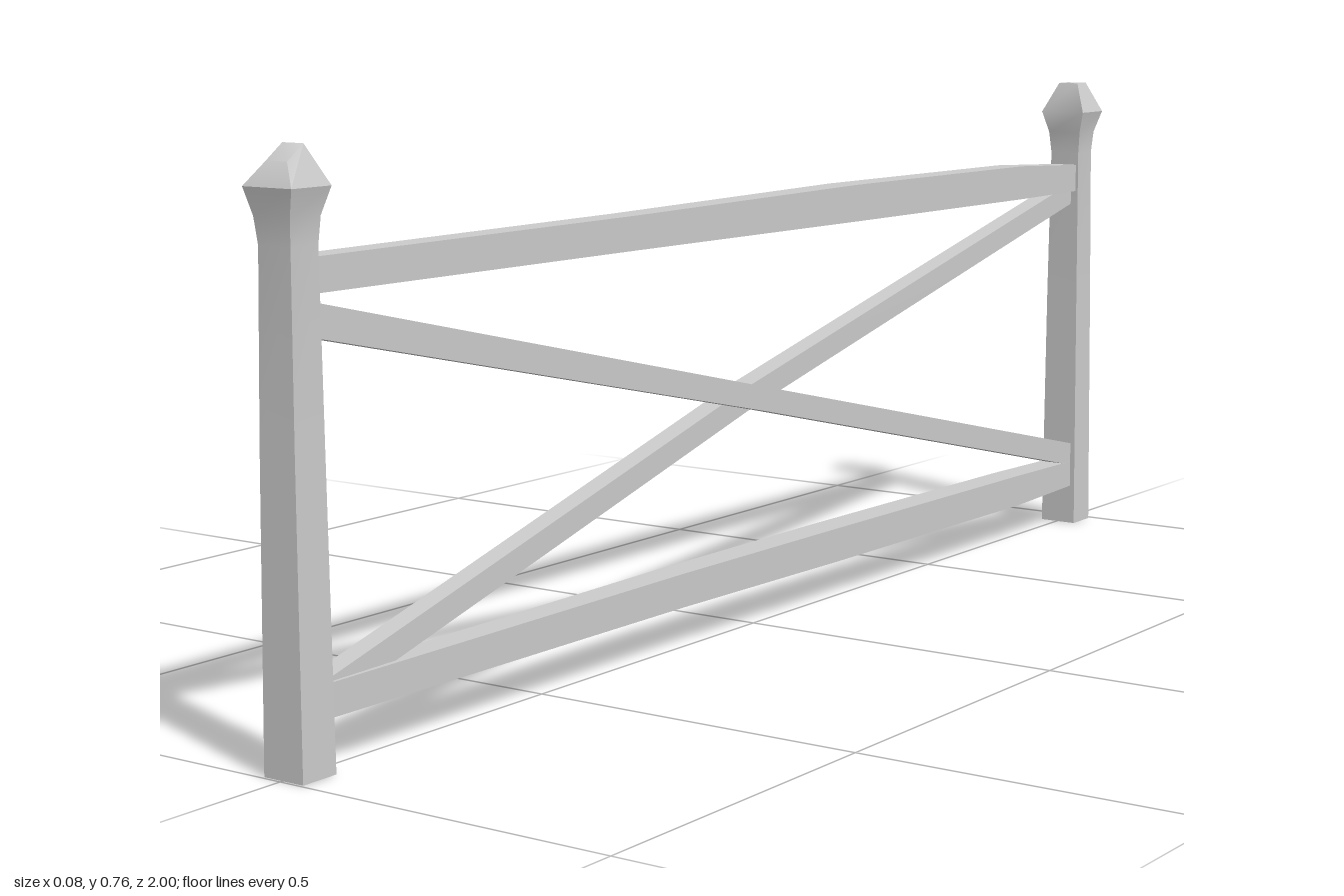
import * as THREE from 'three';
import { toCreasedNormals } from 'three/addons/utils/BufferGeometryUtils.js';

const material = new THREE.MeshStandardMaterial({ color: 0xcccccc });

// Skin four-cornered rings, each wound counter-clockwise about the direction of travel
function loft(name, rings) {
  const positions = rings.flat(2);
  const index = [0, 2, 1, 0, 3, 2];
  for (let i = 0; i < rings.length - 1; i++) {
    for (let j = 0; j < 4; j++) {
      const a = i * 4 + j, b = i * 4 + (j + 1) % 4;
      index.push(a, b, b + 4, a, b + 4, a + 4);
    }
  }
  const e = (rings.length - 1) * 4;
  index.push(e, e + 1, e + 2, e, e + 2, e + 3);
  const geometry = new THREE.BufferGeometry();
  geometry.setAttribute('position', new THREE.Float32BufferAttribute(positions, 3));
  geometry.setIndex(index);
  const mesh = new THREE.Mesh(toCreasedNormals(geometry, 0.6), material);
  mesh.name = name;
  return mesh;
}

// Post levels: [x0, x1, z0, z1, y at z0, y at z1]
function post(name, levels) {
  return loft(name, levels.map(([x0, x1, z0, z1, y0, y1 = y0]) => [
    [x1, y1, z1], [x1, y0, z0], [x0, y0, z0], [x0, y1, z1],
  ]));
}

// Bar stations running from back to front: [z, x0, x1, y0, y1]
function bar(name, stations) {
  return loft(name, stations.map(([z, x0, x1, y0, y1]) => [
    [x0, y0, z], [x1, y0, z], [x1, y1, z], [x0, y1, z],
  ]));
}

export function createModel() {
  const fence = new THREE.Group();
  fence.name = 'fence';

  // Tapered posts with flared, chipped heads
  fence.add(post('frontPost', [
    [-0.030, 0.034, 0.938, 0.996, 0],
    [-0.027, 0.030, 0.941, 0.993, 0.40],
    [-0.024, 0.028, 0.943, 0.990, 0.645],
    [-0.028, 0.031, 0.941, 0.993, 0.68],
    [-0.038, 0.041, 0.932, 1.000, 0.715],
    [-0.015, 0.019, 0.955, 0.983, 0.765, 0.745],
  ]));
  fence.add(post('backPost', [
    [-0.030, 0.033, -0.990, -0.936, 0],
    [-0.027, 0.030, -0.988, -0.938, 0.40],
    [-0.024, 0.028, -0.986, -0.940, 0.645],
    [-0.028, 0.031, -0.989, -0.938, 0.68],
    [-0.038, 0.041, -1.000, -0.930, 0.715],
    [-0.015, 0.020, -0.978, -0.948, 0.764],
  ]));

  // Slightly warped horizontal rails
  fence.add(bar('topRail', [
    [-0.96, -0.016, 0.024, 0.580, 0.624],
    [-0.75, -0.020, 0.024, 0.579, 0.634],
    [-0.25, -0.031, 0.018, 0.580, 0.636],
    [0.30, -0.028, 0.017, 0.583, 0.631],
    [0.96, -0.020, 0.019, 0.586, 0.630],
  ]));
  fence.add(bar('bottomRail', [
    [-0.96, -0.018, 0.024, 0.066, 0.108],
    [-0.75, -0.022, 0.025, 0.060, 0.111],
    [-0.20, -0.031, 0.019, 0.060, 0.112],
    [0.20, -0.030, 0.018, 0.064, 0.113],
    [0.96, -0.020, 0.020, 0.066, 0.110],
  ]));

  // Crossed braces, bent apart where they pass each other
  fence.add(bar('bowedBrace', [
    [-0.96, -0.015, 0.016, 0.563, 0.599],
    [0, -0.043, -0.010, 0.318, 0.354],
    [0.96, -0.015, 0.016, 0.070, 0.106],
  ]));
  fence.add(bar('straightBrace', [
    [-0.96, -0.008, 0.024, 0.097, 0.135],
    [0, -0.010, 0.019, 0.321, 0.357],
    [0.96, -0.013, 0.018, 0.537, 0.580],
  ]));

  return fence;
}
